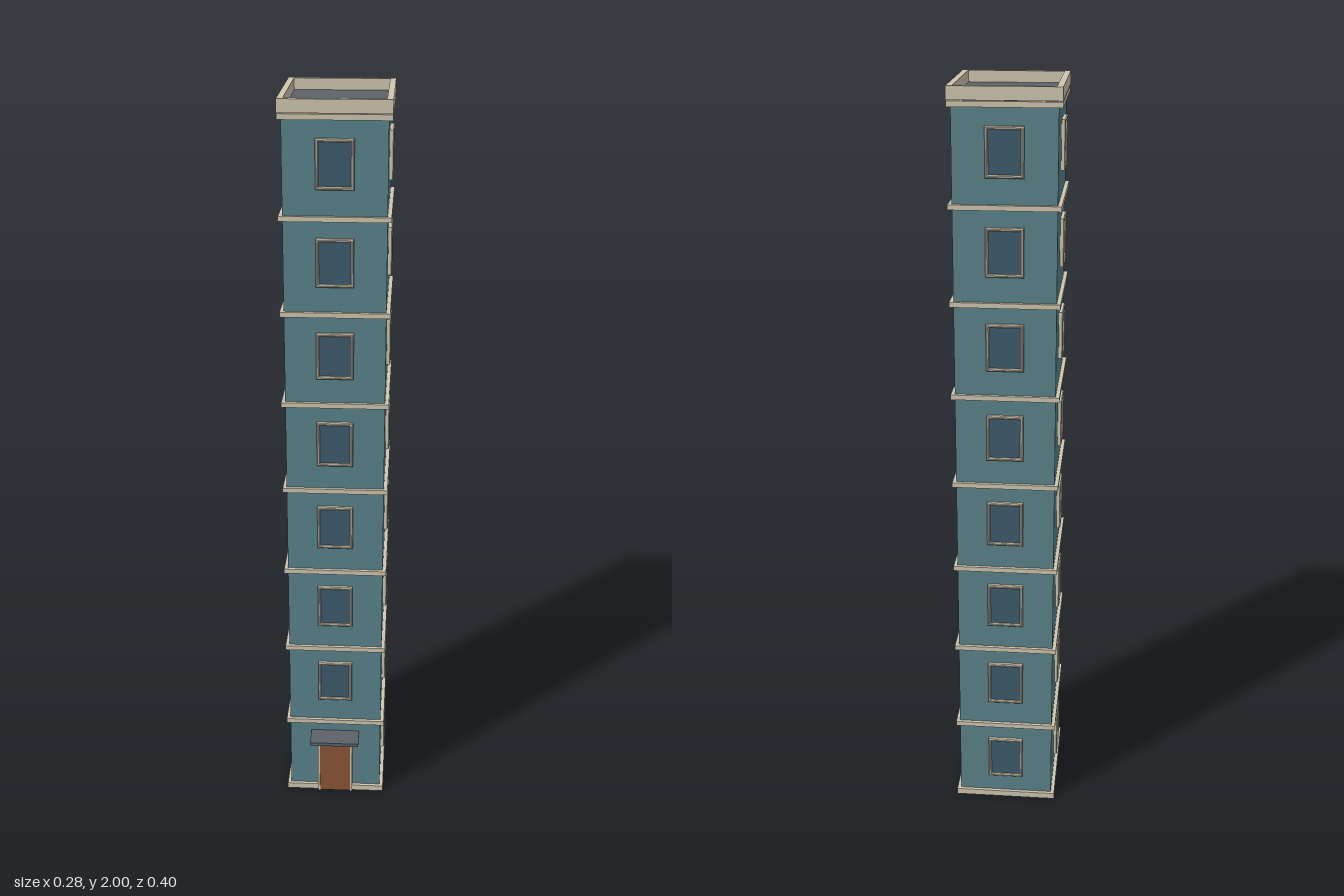
import * as THREE from 'three';

const mat = (name, color) => {
  const m = new THREE.MeshStandardMaterial({ color });
  m.name = name;
  return m;
};

export function createModel() {
  const model = new THREE.Group();
  model.name = 'tower';
  const wall = mat('teal wall', 0x5a838b);
  const trim = mat('cream trim', 0xcfc6b0);
  const glass = mat('blue glass', 0x3d5b6d);
  const wood = mat('brown door', 0x8a5538);
  const slate = mat('slate roof', 0x5d626a);

  const FLOORS = 8, PITCH = 0.2455, CZ = -0.0275;
  const HX = 0.13, HZ = 0.163; // wall half sizes

  const box = (name, material, w, h, d, x, y, z, parent = model) => {
    const mesh = new THREE.Mesh(new THREE.BoxGeometry(w, h, d), material);
    mesh.name = name;
    mesh.position.set(x, y, z);
    parent.add(mesh);
    return mesh;
  };

  // Rectangular ring in the XY plane, extruded along z
  const ring = (w, h, border, depth, bevel = 0) => {
    const rect = (S, a, b) => new S([[-a, -b], [a, -b], [a, b], [-a, b]].map(p => new THREE.Vector2(...p)));
    const shape = rect(THREE.Shape, w / 2, h / 2);
    shape.holes.push(rect(THREE.Path, w / 2 - border, h / 2 - border));
    return new THREE.ExtrudeGeometry(shape, {
      depth, bevelEnabled: bevel > 0, bevelSize: bevel, bevelThickness: bevel, bevelOffset: -bevel, bevelSegments: 1,
    });
  };

  // Body, base and bands between floors
  box('walls', wall, HX * 2, 1.95, HZ * 2, 0, 0.98, CZ);
  box('base', trim, 0.28, 0.017, 0.345, 0, 0.0085, CZ);
  for (let i = 1; i < FLOORS; i++) {
    box('floorBand', trim, 0.28, 0.013, 0.345, 0, 0.238 + (i - 1) * PITCH, CZ);
  }

  // Cornice, flat roof and parapet
  box('cornice', trim, 0.28, 0.014, 0.345, 0, 1.958, CZ);
  box('roof', slate, 0.256, 0.016, 0.32, 0, 1.963, CZ);
  const parapet = new THREE.Mesh(ring(0.28, 0.345, 0.0155, 0.033), trim);
  parapet.name = 'parapet';
  parapet.rotation.x = -Math.PI / 2;
  parapet.position.set(0, 1.967, CZ);
  model.add(parapet);

  // Windows: one per floor on each side, with the door in place of the lowest front one
  const frameGeo = ring(0.096, 0.124, 0.008, 0.008, 0.0025);
  const paneGeo = new THREE.BoxGeometry(0.082, 0.11, 0.008);
  for (let side = 0; side < 4; side++) {
    const angle = side * Math.PI / 2;
    const reach = side % 2 ? HX : HZ;
    for (let i = side === 0 ? 1 : 0; i < FLOORS; i++) {
      const win = new THREE.Group();
      win.name = 'window';
      const frame = new THREE.Mesh(frameGeo, trim);
      frame.name = 'windowFrame';
      const pane = new THREE.Mesh(paneGeo, glass);
      pane.name = 'windowPane';
      pane.position.z = 0.001;
      win.add(frame, pane);
      win.position.set(Math.sin(angle) * reach, 0.13 + i * 0.245, CZ + Math.cos(angle) * reach);
      win.rotation.y = angle;
      model.add(win);
    }
  }

  // Entrance
  const front = CZ + HZ;
  const entrance = new THREE.Group();
  entrance.name = 'entrance';
  box('door', wood, 0.09, 0.181, 0.018, 0, 0.0905, front + 0.004, entrance);
  for (const s of [-1, 1]) box('doorJamb', trim, 0.006, 0.188, 0.022, s * 0.047, 0.094, front + 0.005, entrance);
  box('doorHead', trim, 0.1, 0.007, 0.022, 0, 0.1845, front + 0.005, entrance);
  box('canopy', slate, 0.138, 0.01, 0.067, 0, 0.198, front + 0.0315, entrance);
  model.add(entrance);

  return model;
}
